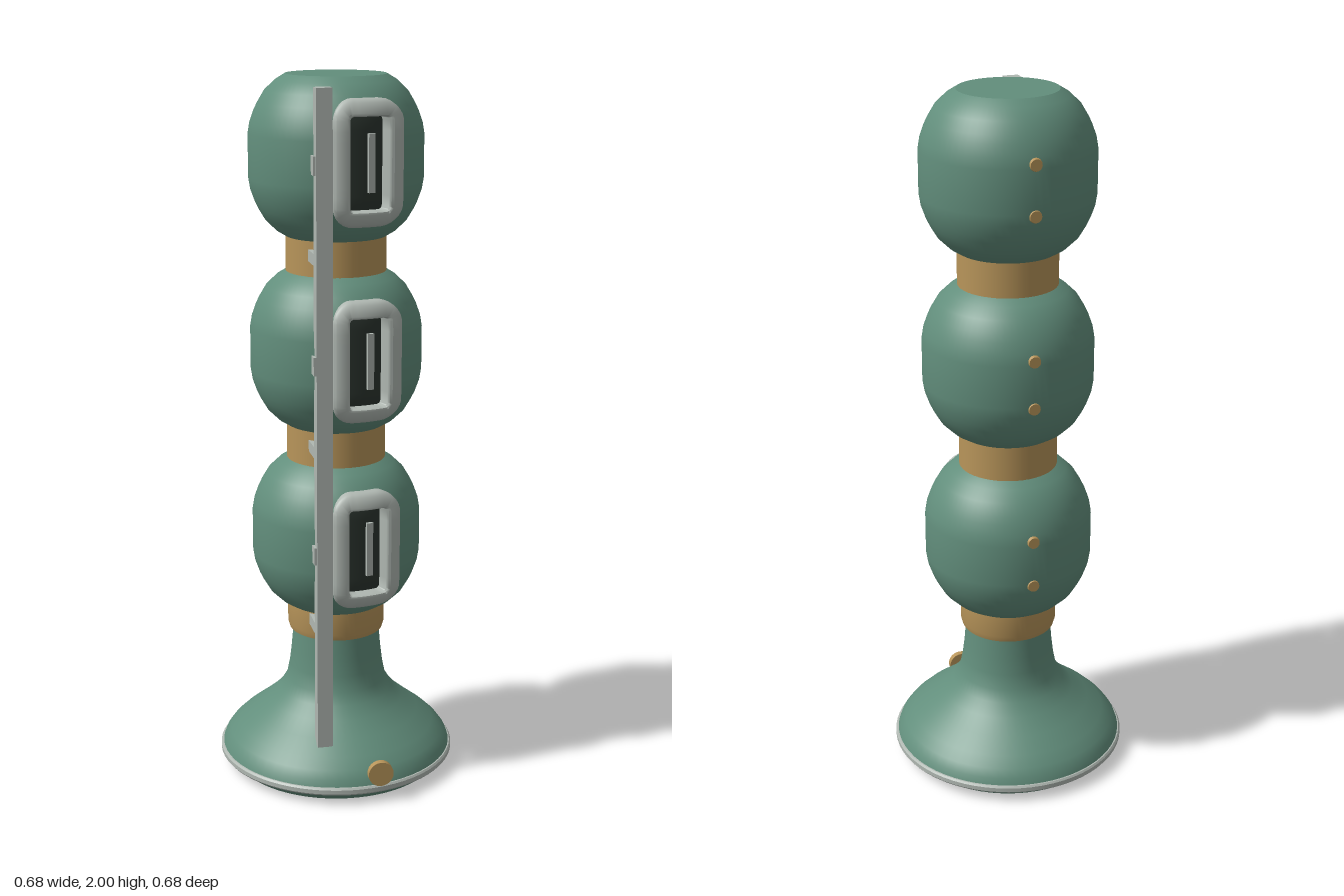
import * as THREE from 'three';
import { toCreasedNormals } from 'three/addons/utils/BufferGeometryUtils.js';

const WINDOW_ANGLE = 0.172;

const material = (name, color) => {
  const m = new THREE.MeshStandardMaterial({ color });
  m.name = name;
  return m;
};

export function createModel() {
  const green = material('sage green', 0x628e7c);
  const silver = material('silver', 0xb0b8b2);
  const gold = material('brass', 0xb8955a);
  const dark = material('dark', 0x2b342e);

  const model = new THREE.Group();
  model.name = 'stackedTower';

  const add = (parent, name, geometry, mat, x = 0, y = 0, z = 0) => {
    const mesh = new THREE.Mesh(geometry, mat);
    mesh.name = name;
    mesh.position.set(x, y, z);
    parent.add(mesh);
    return mesh;
  };
  const rawLathe = (points, segments) =>
    new THREE.LatheGeometry(points.map(([r, y]) => new THREE.Vector2(r, y)), segments);
  const lathe = (points, segments = 64) => toCreasedNormals(rawLathe(points, segments), 0.42);

  // Bend a flat point (u across, v up, d outward) around the front of a pod
  const bend = (u, v, d) => {
    const t = Math.max(0, (Math.abs(v) - 0.1) / 0.065);
    const r = 0.253 - 0.024 * t * t + d;
    const a = WINDOW_ANGLE + u / 0.235;
    return [r * Math.sin(a), v, r * Math.cos(a)];
  };
  const bentBox = (w, h, depth, u, d) => {
    const g = new THREE.BoxGeometry(w, h, depth, 8, 12, 1);
    const p = g.attributes.position;
    for (let i = 0; i < p.count; i++) {
      p.setXYZ(i, ...bend(p.getX(i) + u, p.getY(i), p.getZ(i) + d));
    }
    return toCreasedNormals(g, 0.6);
  };

  // Rounded window frame: a section swept round a rounded rectangle, then bent
  const frameGeometry = () => {
    const w = 0.099, h = 0.168, r = 0.055;
    const section = [[0, -0.036], [0, -0.01], [0.003, -0.003], [0.01, 0],
      [0.036, 0], [0.042, -0.003], [0.045, -0.01], [0.045, -0.048]];
    const corners = [[1, -1], [1, 1], [-1, 1], [-1, -1]];
    const path = [];
    corners.forEach(([sx, sy], c) => {
      for (let k = 0; k <= 6; k++) {
        const a = -Math.PI / 2 + (c + k / 6) * Math.PI / 2;
        path.push([sx * (w - r), sy * (h - r), Math.cos(a), Math.sin(a)]);
      }
      // Extra points along the straight run to the next corner
      const [nx, ny] = corners[(c + 1) % 4];
      const a = c * Math.PI / 2;
      for (let k = 1; k < 8; k++) {
        path.push([THREE.MathUtils.lerp(sx, nx, k / 8) * (w - r),
          THREE.MathUtils.lerp(sy, ny, k / 8) * (h - r), Math.cos(a), Math.sin(a)]);
      }
    });
    const position = [], index = [];
    const n = path.length, m = section.length;
    for (const [x, y, dx, dy] of path) {
      for (const [o, d] of section) position.push(...bend(x + dx * (r - o), y + dy * (r - o), d));
    }
    for (let i = 0; i < n; i++) {
      for (let j = 0; j < m - 1; j++) {
        const a = i * m + j, b = ((i + 1) % n) * m + j;
        index.push(a, b, b + 1, a, b + 1, a + 1);
      }
    }
    const g = new THREE.BufferGeometry();
    g.setAttribute('position', new THREE.Float32BufferAttribute(position, 3));
    g.setIndex(index);
    return toCreasedNormals(g, 0.9);
  };

  // Rounded pod shell, pushed in behind the window to leave a recess
  const podShellGeometry = () => {
    const half = [[0.24, 0.06], [0.235, 0.09], [0.2235, 0.122], [0.214, 0.142],
      [0.195, 0.174], [0.166, 0.202], [0.138, 0.219], [0, 0.219]];
    const g = rawLathe([...half.map(([r, y]) => [r, -y]).reverse(), ...half], 72);
    const p = g.attributes.position;
    for (let i = 0; i < p.count; i++) {
      const x = p.getX(i), y = p.getY(i), z = p.getZ(i);
      if (Math.abs(y) < 0.13 && Math.abs(Math.atan2(x, z) - WINDOW_ANGLE) < 0.33) {
        const s = 0.195 / Math.hypot(x, z);
        p.setXYZ(i, x * s, y, z * s);
      }
    }
    return toCreasedNormals(g, 0.42);
  };

  // Flared base with a foot and a silver rim
  const base = new THREE.Group();
  base.name = 'base';
  model.add(base);
  add(base, 'foot', lathe([[0, 0], [0.3, 0], [0.333, 0.03]]), green);
  add(base, 'rim', lathe([[0.325, 0.028], [0.338, 0.029], [0.342, 0.034], [0.342, 0.046], [0.338, 0.051], [0.325, 0.053]]), silver);
  add(base, 'flaredStem', lathe([[0.335, 0.05], [0.328, 0.07], [0.312, 0.092], [0.285, 0.118],
    [0.24, 0.153], [0.195, 0.19], [0.165, 0.222], [0.145, 0.255], [0.136, 0.3],
    [0.13, 0.35], [0.124, 0.42]]), green);
  const button = add(base, 'frontButton', new THREE.CylinderGeometry(0.036, 0.036, 0.018, 24), gold, 0.057, 0.085, 0.33);
  button.rotation.x = Math.PI / 2;

  // Brass collars between the pods
  add(model, 'lowerCollar', lathe([[0.118, 0.41], [0.135, 0.413], [0.14, 0.43], [0.14, 0.495]]), gold);
  for (const y of [0.982, 1.517]) {
    add(model, 'collar', new THREE.CylinderGeometry(0.14, 0.14, 0.11, 48, 1, true), gold, 0, y);
  }

  // Three pods, each with a framed window and two rear rivets
  const podShell = podShellGeometry();
  const frame = frameGeometry();
  const panel = bentBox(0.14, 0.262, 0.004, 0, -0.044);
  const bar = bentBox(0.02, 0.155, 0.01, 0.014, -0.037);
  const rivet = new THREE.CylinderGeometry(0.016, 0.02, 0.014, 16);
  for (const y of [0.712, 1.248, 1.781]) {
    const pod = new THREE.Group();
    pod.name = 'pod';
    pod.position.y = y;
    model.add(pod);
    add(pod, 'podShell', podShell, green);
    add(pod, 'windowFrame', frame, silver);
    add(pod, 'windowPanel', panel, dark);
    add(pod, 'windowBar', bar, silver);
    for (const v of [0.07, -0.065]) {
      add(pod, 'rearRivet', rivet, gold, 0, v, -0.237).rotation.x = -Math.PI / 2;
    }
    // Clamp holding the rail beside the pod
    add(pod, 'railClamp', new THREE.BoxGeometry(0.05, 0.05, 0.03), silver, -0.088, 0, 0.227);
  }

  // Upright rail with struts reaching back to the collars
  add(model, 'rail', new THREE.BoxGeometry(0.044, 1.84, 0.038), silver, -0.084, 1.06, 0.228);
  for (const y of [0.475, 0.99, 1.525]) {
    add(model, 'railStrut', new THREE.BoxGeometry(0.03, 0.032, 0.13), silver, -0.084, y, 0.155);
  }

  return model;
}
